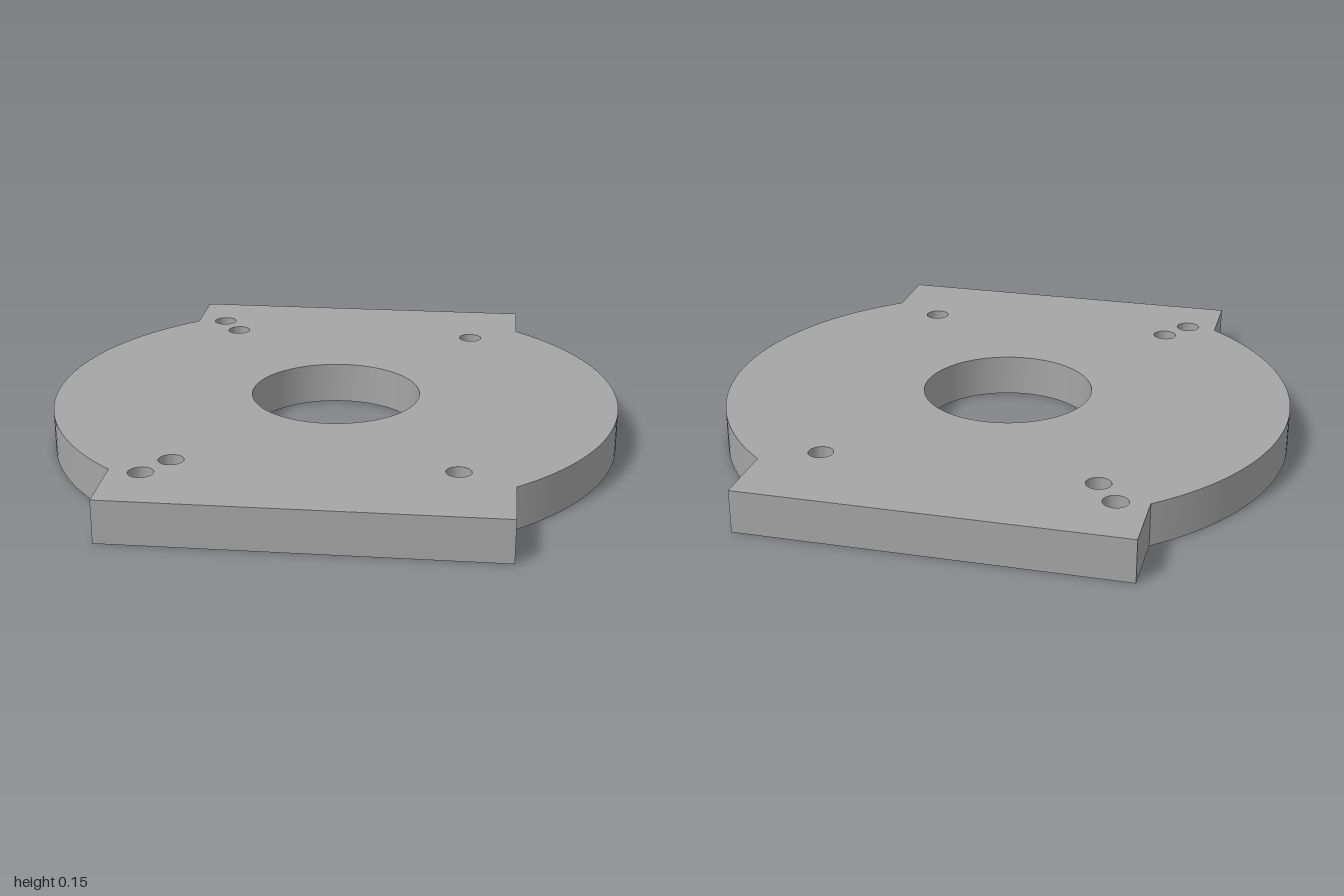
import * as THREE from 'three';
import { toCreasedNormals } from 'three/addons/utils/BufferGeometryUtils.js';

const THICK = 0.147, HALF_W = 0.645, POCKET_DEPTH = 0.1;

// Points along an arc, in the plan plane (x, -z)
function arc(cx, cy, r, from, to, n) {
  return Array.from({ length: n + 1 }, (_, i) => {
    const a = from + (to - from) * i / n;
    return new THREE.Vector2(cx + r * Math.cos(a), cy + r * Math.sin(a));
  });
}
const circle = (x, y, r, n) => arc(x, y, r, 0, Math.PI * 2, n).slice(0, -1);

// Flat face with holes; turned over to face down (the plan is symmetric front to back)
function cap(loop, holes, y, up) {
  const shape = new THREE.Shape(loop);
  shape.holes = holes.map((h) => new THREE.Path(h));
  return new THREE.ShapeGeometry(shape)
    .rotateX(up ? -Math.PI / 2 : Math.PI / 2)
    .translate(0, y, 0);
}

// Upright wall along a closed loop; anticlockwise loops face outward
function wall(loop, y0, y1) {
  const pos = [];
  loop.forEach((a, i) => {
    const b = loop[(i + 1) % loop.length];
    pos.push(a.x, y0, -a.y, b.x, y0, -b.y, b.x, y1, -b.y);
    pos.push(a.x, y0, -a.y, b.x, y1, -b.y, a.x, y1, -a.y);
  });
  const g = new THREE.BufferGeometry();
  g.setAttribute('position', new THREE.Float32BufferAttribute(pos, 3));
  return toCreasedNormals(g, Math.PI / 7);
}
const holeWall = (loop, y0) => wall([...loop].reverse(), y0, THICK);

export function createModel() {
  const model = new THREE.Group();
  model.name = 'mountingPlate';
  const material = new THREE.MeshStandardMaterial({ color: 0xa5a5a5 });
  const add = (name, geometry) => {
    const mesh = new THREE.Mesh(geometry, material);
    mesh.name = name;
    model.add(mesh);
  };

  // Disc outline with a square-ended tab at front and back
  const t = Math.acos(HALF_W);
  const outline = [
    ...arc(0, 0, 1, -t, t, 48),
    new THREE.Vector2(HALF_W, 1), new THREE.Vector2(-HALF_W, 1),
    ...arc(0, 0, 1, Math.PI - t, Math.PI + t, 48),
    new THREE.Vector2(-HALF_W, -1), new THREE.Vector2(HALF_W, -1),
  ];

  // Centre bore, four through holes and two blind pockets
  const bore = circle(0, 0, 0.3, 96);
  const bolts = [], pockets = [];
  for (const s of [-1, 1]) {
    for (const x of [-0.463, 0.463]) bolts.push(circle(x, s * 0.667, 0.042, 32));
    pockets.push(circle(-0.538, s * 0.777, 0.042, 32));
  }

  add('topFace', cap(outline, [bore, ...bolts, ...pockets], THICK, true));
  add('bottomFace', cap(outline, [bore, ...bolts], 0, false));
  add('outerEdge', wall(outline, 0, THICK));
  add('centreBore', holeWall(bore, 0));
  bolts.forEach((h) => add('boltHole', holeWall(h, 0)));
  pockets.forEach((h) => {
    add('pocketWall', holeWall(h, THICK - POCKET_DEPTH));
    add('pocketFloor', cap(h, [], THICK - POCKET_DEPTH, true));
  });
  return model;
}
